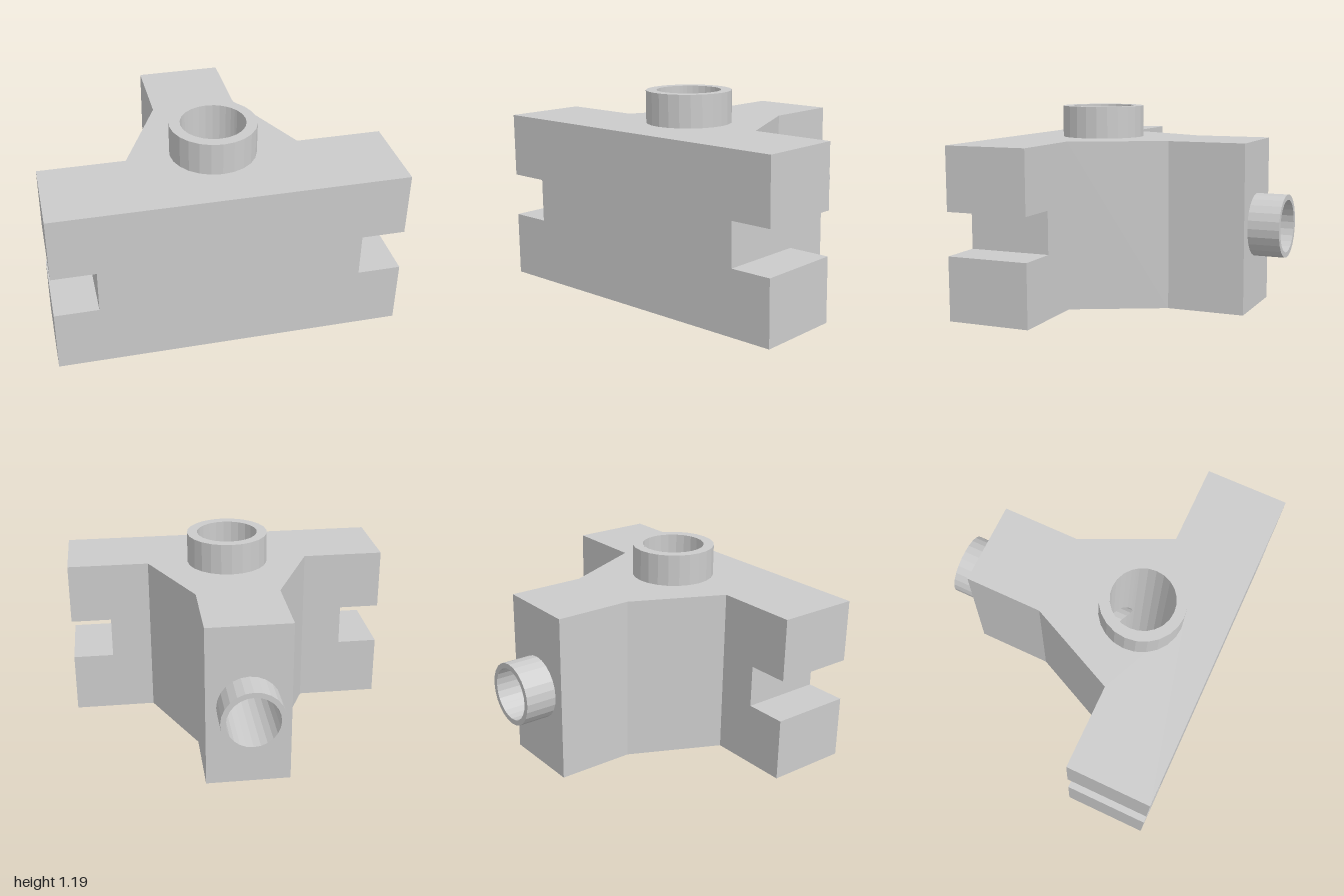
import * as THREE from 'three';

const SEG = 24;
const FRONT = 0.844, ARM = 0.344, NECK = -0.19, BACK = -0.656, TIP = -0.844; // z stations
const TOP = 1, RIM = 1.19, MID = 0.5;                                        // heights
const WELL = 0.1875, COLLAR = 0.25;                  // vertical bore and its collar
const PIPE = 0.156, SPOUT = 0.1875;                  // rear bore and its spout

const material = new THREE.MeshStandardMaterial({
  color: 0xcccccc, flatShading: true, side: THREE.DoubleSide,
});

function add(group, name, geometry) {
  const mesh = new THREE.Mesh(geometry, material);
  mesh.name = name;
  group.add(mesh);
  return mesh;
}

// Strip of flat quads between two polylines of [x, y, z] points
function ruled(a, b) {
  const p = [];
  for (let i = 0; i < a.length - 1; i++) {
    p.push(...a[i], ...a[i + 1], ...b[i], ...b[i], ...a[i + 1], ...b[i + 1]);
  }
  const g = new THREE.BufferGeometry();
  g.setAttribute('position', new THREE.Float32BufferAttribute(p, 3));
  g.computeVertexNormals();
  return g;
}

// Flat face from [x, y] points, with an optional round hole
function panel(points, hole) {
  const shape = new THREE.Shape(points.map(([x, y]) => new THREE.Vector2(x, y)));
  if (hole) {
    const ring = [];
    for (let i = 0; i < SEG; i++) {
      const t = (i / SEG) * Math.PI * 2;
      ring.push(new THREE.Vector2(hole.r * Math.cos(t), hole.y + hole.r * Math.sin(t)));
    }
    shape.holes.push(new THREE.Path(ring));
  }
  return new THREE.ShapeGeometry(shape);
}

const mirrorX = (pts) => pts.map(([x, y]) => [-x, y]);
const tube = (r, length) => new THREE.CylinderGeometry(r, r, length, SEG, 1, true);

export function createModel() {
  const model = new THREE.Group();
  model.name = 'pipeBlock';

  // Right-hand half of the notched front profile (x, y) and of the plan (x, z)
  const profile = [[1, 0], [1, 0.375], [0.75, 0.375], [0.75, 0.628], [1, 0.628], [1, TOP]];
  const neck = [[0.25, BACK], [0.25, NECK], [0.5, ARM]];
  const half = [...neck, [1, ARM], [1, FRONT]];
  const plan = [...half, ...mirrorX(half).reverse()];

  // Body faces
  const body = new THREE.Group();
  body.name = 'body';
  model.add(body);
  add(body, 'frontFace', panel([...profile, ...mirrorX(profile).reverse()]).translate(0, 0, FRONT));
  add(body, 'topFace', panel(plan.map(([x, z]) => [x, -z]), { r: COLLAR, y: -ARM })
    .rotateX(-Math.PI / 2).translate(0, TOP, 0));
  add(body, 'bottomFace', panel(plan, { r: WELL, y: ARM }).rotateX(Math.PI / 2));
  add(body, 'backFace', panel([[-0.25, 0], [0.25, 0], [0.25, TOP], [-0.25, TOP]], { r: SPOUT, y: MID })
    .rotateY(Math.PI).translate(0, 0, BACK));

  // Side walls, slotted arm ends and arm backs, mirrored
  for (const side of [1, -1]) {
    const flank = new THREE.Group();
    flank.name = side > 0 ? 'leftFlank' : 'rightFlank';
    flank.scale.x = side;
    body.add(flank);
    add(flank, 'neckWall', ruled(neck.map(([x, z]) => [x, TOP, z]), neck.map(([x, z]) => [x, 0, z])));
    add(flank, 'slottedEnd', ruled(profile.map(([x, y]) => [x, y, ARM]), profile.map(([x, y]) => [x, y, FRONT])));
    add(flank, 'armBack', panel(mirrorX([[0.5, 0], ...profile, [0.5, TOP]]))
      .rotateY(Math.PI).translate(0, 0, ARM));
  }

  // Top collar
  const collar = new THREE.Group();
  collar.name = 'topCollar';
  model.add(collar);
  add(collar, 'collarWall', tube(COLLAR, RIM - TOP).translate(0, (TOP + RIM) / 2, ARM));
  add(collar, 'collarRim', new THREE.RingGeometry(WELL, COLLAR, SEG)
    .rotateX(-Math.PI / 2).translate(0, RIM, ARM));

  // Vertical bore: plain wall, then strips above and below the rear bore's opening
  const well = new THREE.Group();
  well.name = 'verticalBore';
  model.add(well);
  add(well, 'boreWall', new THREE.CylinderGeometry(WELL, WELL, RIM, 16, 1, true,
    Math.PI * 4 / 3, Math.PI * 4 / 3).translate(0, RIM / 2, ARM));
  const columns = [[-Math.PI / 3, 0]];
  for (let i = -6; i <= 6; i++) {
    const t = (i / SEG) * Math.PI * 2;
    columns.push([Math.asin(PIPE * Math.sin(t) / WELL), PIPE * Math.cos(t)]);
  }
  columns.push([Math.PI / 3, 0]);
  const line = (height) => columns.map(([a, h]) =>
    [WELL * Math.sin(a), height(h), ARM - WELL * Math.cos(a)]);
  add(well, 'boreWallAbove', ruled(line(() => RIM), line((h) => MID + h)));
  add(well, 'boreWallBelow', ruled(line((h) => MID - h), line(() => 0)));

  // Rear spout
  const spout = new THREE.Group();
  spout.name = 'rearSpout';
  model.add(spout);
  add(spout, 'spoutWall', tube(SPOUT, BACK - TIP).rotateX(Math.PI / 2)
    .translate(0, MID, (BACK + TIP) / 2));
  add(spout, 'spoutRim', new THREE.RingGeometry(PIPE, SPOUT, SEG)
    .rotateY(Math.PI).translate(0, MID, TIP));

  // Rear bore, its inner end fitted to the curve of the vertical bore
  const pipe = tube(PIPE, 1).rotateX(Math.PI / 2).translate(0, MID, 0);
  const pos = pipe.attributes.position;
  for (let i = 0; i < pos.count; i++) {
    const x = pos.getX(i);
    pos.setZ(i, pos.getZ(i) > 0 ? ARM - Math.sqrt(WELL * WELL - x * x) : TIP);
  }
  pipe.computeVertexNormals();
  add(spout, 'rearBore', pipe);

  return model;
}
